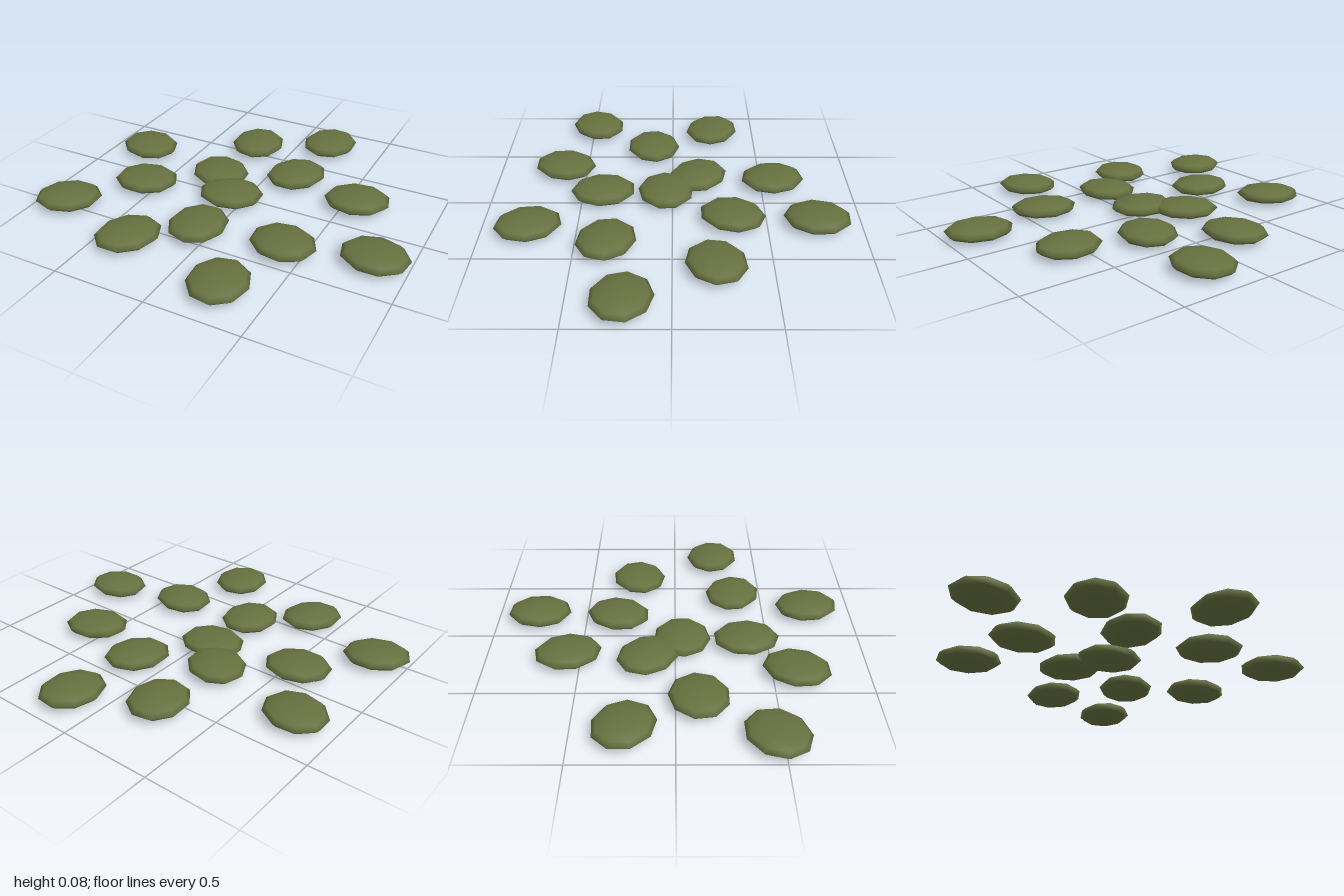
import * as THREE from 'three';

// Pads: x, z, yaw in degrees (long axis, turned from +x towards -z)
const PADS = [
  [0.19, -0.76, 85], [-0.20, -0.56, 102], [-0.78, -0.245, -22], [0.163, -0.313, 67],
  [0.564, -0.214, 15], [-0.235, -0.147, -38], [-0.072, 0.037, 4], [-0.559, 0.115, 188],
  [-0.829, 0.468, 208], [-0.072, 0.388, 94], [-0.342, 0.628, 68], [0.38, 0.334, -16],
  [0.82, 0.233, -8], [0.254, 0.757, 105],
];

// Flattened nine-sided pebble, slightly dimpled at both poles
function makePadGeometry() {
  const geometry = new THREE.SphereGeometry(1, 9, 6);
  geometry.scale(0.179, 0.0425, 0.154);
  geometry.translate(0.0054, 0, 0);
  geometry.computeVertexNormals();
  const pos = geometry.attributes.position;
  const normal = geometry.attributes.normal;
  const sphere = new THREE.Vector3();
  for (let i = 0; i < pos.count; i++) {
    // smooth ellipsoid normals, without a seam
    sphere.set((pos.getX(i) - 0.0054) / 0.179 ** 2, pos.getY(i) / 0.0425 ** 2, pos.getZ(i) / 0.154 ** 2).normalize();
    normal.setXYZ(i, sphere.x, sphere.y, sphere.z);
    if (Math.abs(pos.getY(i)) > 0.042) pos.setY(i, pos.getY(i) * 0.96);
  }
  return geometry;
}

export function createModel() {
  const model = new THREE.Group();
  model.name = 'leafPads';
  const oliveGreen = new THREE.MeshStandardMaterial({ color: 0x66703f });
  oliveGreen.name = 'oliveGreen';
  const geometry = makePadGeometry();

  PADS.forEach(([x, z, yaw], i) => {
    const pad = new THREE.Mesh(geometry, oliveGreen);
    pad.name = `pad${i + 1}`;
    pad.position.set(x, 0.051, z);
    pad.rotation.y = THREE.MathUtils.degToRad(yaw);
    model.add(pad);
  });
  return model;
}
